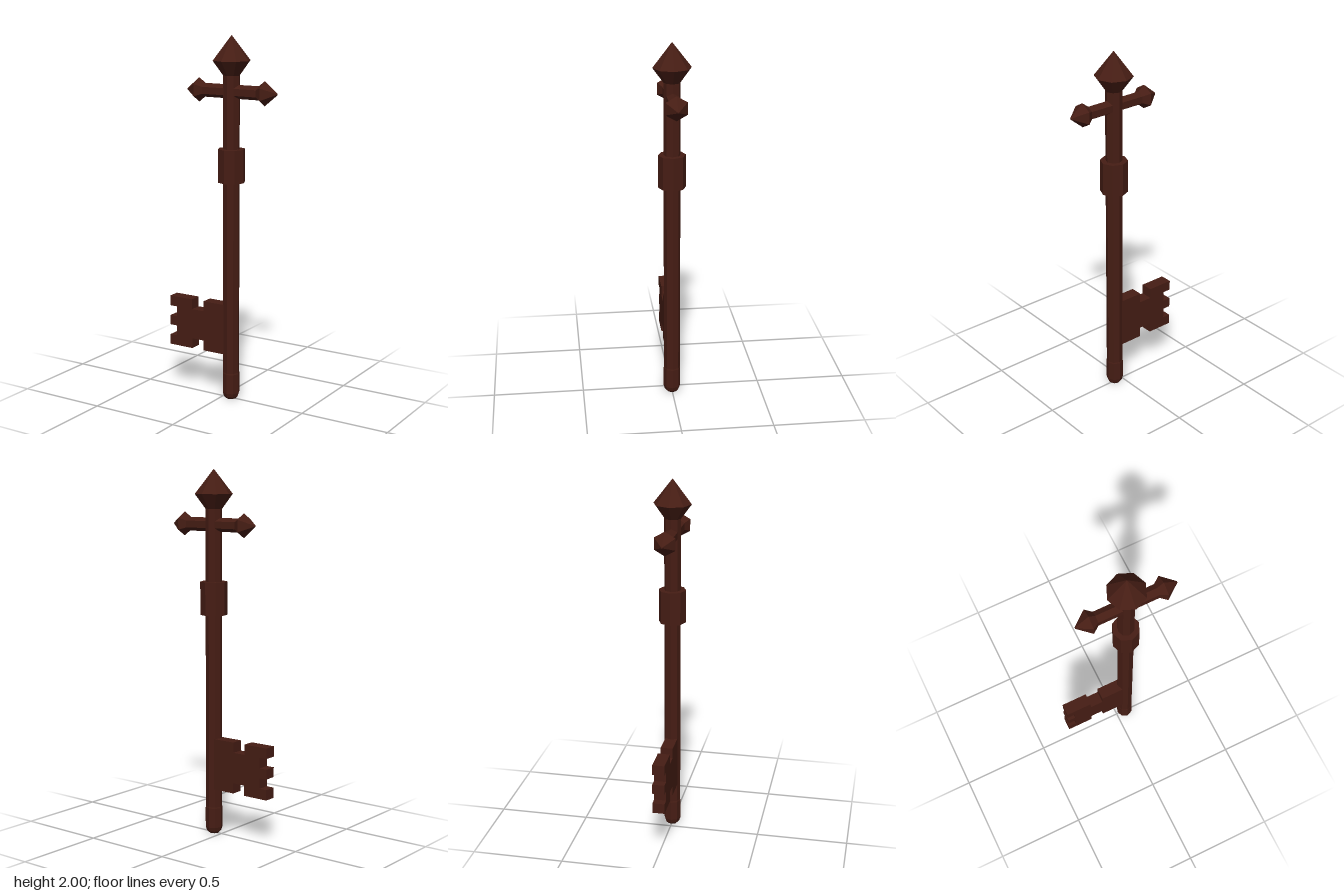
import * as THREE from 'three';

export function createModel() {
  const model = new THREE.Group();
  const material = new THREE.MeshStandardMaterial({ color: 0x461d14, flatShading: true });
  const axisX = 0.052; // the shaft stands off centre, balancing the bit

  const add = (name, geometry, parent = model) => {
    const mesh = new THREE.Mesh(geometry, material);
    mesh.name = name;
    parent.add(mesh);
    return mesh;
  };

  // Faceted turned part from [radius, height] pairs, listed bottom to top
  const turned = (points, sides) =>
    new THREE.LatheGeometry(points.map(([r, y]) => new THREE.Vector2(r, y)), sides);

  // Upright parts, all eight-sided
  const uprights = {
    shaft: [[0, 0.13], [0.045, 0.13], [0.045, 1.81], [0, 1.81]],
    endCap: [[0, 0], [0.028, 0], [0.04, 0.012], [0.047, 0.035], [0.047, 0.145], [0.043, 0.16], [0, 0.16]],
    collar: [[0, 1.22], [0.074, 1.22], [0.074, 1.4], [0, 1.4]],
    finial: [[0, 1.79], [0.045, 1.79], [0.102, 1.868], [0, 2]],
  };
  for (const [name, points] of Object.entries(uprights)) {
    add(name, turned(points, 8)).position.x = axisX;
  }

  // Six-sided crossbar with a pointed head on each end
  const crossbar = new THREE.Group();
  crossbar.name = 'crossbar';
  crossbar.position.set(axisX, 1.705, 0);
  model.add(crossbar);
  const bar = new THREE.CylinderGeometry(0.037, 0.037, 0.35, 6);
  add('crossbarRod', bar.rotateY(Math.PI / 2).rotateZ(Math.PI / 2), crossbar);
  for (const side of [1, -1]) {
    const point = turned([[0, 0.166], [0.037, 0.166], [0.065, 0.202], [0.004, 0.277], [0, 0.277]], 6);
    point.rotateY(Math.PI / 2).rotateZ(-side * Math.PI / 2);
    add(side > 0 ? 'leftPoint' : 'rightPoint', point, crossbar);
  }

  // Flat notched bit: upper half of the outline, mirrored about its middle
  const midY = 0.398;
  const half = [
    [axisX, 0.142], [-0.108, 0.142], [-0.108, 0.085], [-0.183, 0.085], [-0.183, 0.142],
    [-0.33, 0.142], [-0.33, 0.085], [-0.285, 0.085], [-0.285, 0.027], [-0.33, 0.027],
  ];
  const outline = [...half, ...half.map(([x, y]) => [x, -y]).reverse()];
  const shape = new THREE.Shape(outline.map(([x, y]) => new THREE.Vector2(x, midY + y)));
  const bit = new THREE.ExtrudeGeometry(shape, { depth: 0.067, bevelEnabled: false });
  add('bit', bit.translate(0, 0, -0.0335));

  return model;
}
